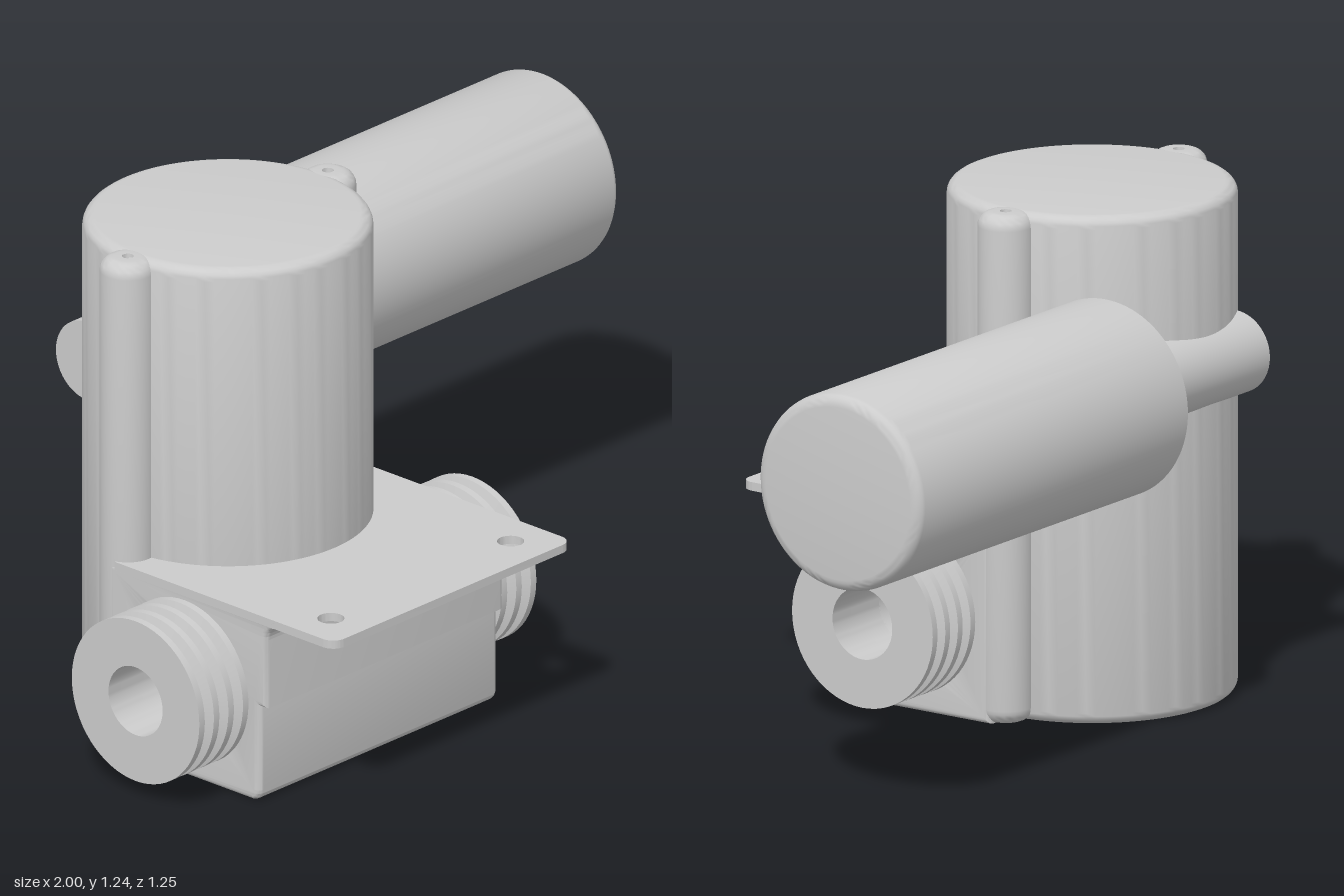
import * as THREE from 'three';
import { toCreasedNormals } from 'three/addons/utils/BufferGeometryUtils.js';

const material = new THREE.MeshStandardMaterial({ color: 0xcccccc });
const CX = -0.415, HALF = 0.413; // middle and half width of the valve housing

function addPart(group, name, geometry, x = 0, y = 0, z = 0) {
  const mesh = new THREE.Mesh(toCreasedNormals(geometry, 0.6), material);
  mesh.name = name;
  mesh.position.set(x, y, z);
  group.add(mesh);
  return mesh;
}

function lathe(points, segments = 64) {
  return new THREE.LatheGeometry(points.map(([r, y]) => new THREE.Vector2(r, y)), segments);
}

// Quarter-circle profile points around (r, y) from angle a to angle b
function arc(r, y, radius, a, b, n = 6) {
  return Array.from({ length: n + 1 }, (_, i) => {
    const t = a + (b - a) * i / n;
    return [r + radius * Math.cos(t), y + radius * Math.sin(t)];
  });
}

// Profile of an upright cylinder with rounded rims
function roundedProfile(r, h, f) {
  return [[0, 0], ...arc(r - f, f, f, -Math.PI / 2, 0), ...arc(r - f, h - f, f, 0, Math.PI / 2)];
}

function hole(x, y, r) {
  return new THREE.Path().absarc(x, y, r, 0, Math.PI * 2, true);
}

export function createModel() {
  const model = new THREE.Group();
  model.name = 'motorisedValve';

  // Upright chamber
  addPart(model, 'chamber', lathe([...roundedProfile(0.343, 1.24, 0.03), [0, 1.24]], 96), CX, 0, -0.1);

  // Side posts with a small dimple on top
  for (const s of [-1, 1]) {
    const profile = [...roundedProfile(0.067, 1.24, 0.035), [0.014, 1.24], [0.012, 1.225], [0, 1.225]];
    addPart(model, s < 0 ? 'rightPost' : 'leftPost', lathe(profile, 32), CX + s * (HALF - 0.067), 0, -0.1);
  }

  // Valve block: side profile with a cross bore, extruded across the width
  const side = new THREE.Shape();
  side.moveTo(-0.1, 0);
  side.lineTo(0.355, 0);
  side.absarc(0.355, 0.03, 0.03, -Math.PI / 2, 0, false);
  side.lineTo(0.385, 0.245);
  side.lineTo(0.405, 0.245);
  side.lineTo(0.405, 0.42);
  side.absarc(0.445, 0.42, 0.04, Math.PI, Math.PI / 2, true);
  side.lineTo(0.445, 0.475);
  side.lineTo(-0.1, 0.475);
  side.closePath();
  side.holes.push(hole(0.145, 0.245, 0.087));
  const bevel = 0.015;
  const block = new THREE.ExtrudeGeometry(side, {
    depth: 2 * (HALF - bevel), bevelEnabled: true, bevelThickness: bevel,
    bevelSize: bevel, bevelOffset: -bevel, bevelSegments: 4, curveSegments: 24,
  });
  block.translate(0, 0, -(HALF - bevel)).rotateY(-Math.PI / 2);
  addPart(model, 'valveBlock', block, CX);

  // Mounting plate with rounded front corners and two screw holes
  const plan = new THREE.Shape();
  const c = 0.035, front = -0.625;
  plan.moveTo(HALF, 0.08);
  plan.lineTo(-HALF, 0.08);
  plan.lineTo(-HALF, front + c);
  plan.absarc(-HALF + c, front + c, c, Math.PI, Math.PI * 1.5, false);
  plan.lineTo(HALF - c, front);
  plan.absarc(HALF - c, front + c, c, -Math.PI / 2, 0, false);
  plan.closePath();
  for (const s of [-1, 1]) plan.holes.push(hole(s * 0.311, -0.52, 0.032));
  const plate = new THREE.ExtrudeGeometry(plan, { depth: 0.021, bevelEnabled: false, curveSegments: 20 });
  plate.rotateX(-Math.PI / 2);
  addPart(model, 'mountingPlate', plate, CX, 0.461, 0);

  // Ribbed hose ports, one on each side of the block
  const ribs = [];
  for (let i = 0; i < 4; i++) {
    const y = i * 0.0503;
    ribs.push([0.205, y], [0.205, y + 0.019]);
    if (i < 3) ribs.push([0.178, y + 0.028], [0.178, y + 0.041]);
  }
  const portProfile = [[0.088, -0.02], [0.205, -0.02], ...ribs, [0.087, 0.17], [0.087, -0.02]];
  for (const s of [-1, 1]) {
    const port = addPart(model, s < 0 ? 'rightPort' : 'leftPort', lathe(portProfile), CX + s * HALF, 0.245, 0.145);
    port.rotation.z = -s * Math.PI / 2;
  }

  // Motor with a tapered nose and a rounded far end
  const motor = lathe([
    [0, -0.145], [0.175, -0.145], [0.24, -0.07],
    ...arc(0.21, 0.97, 0.03, 0, Math.PI / 2), [0, 1],
  ], 96);
  addPart(model, 'motor', motor.rotateZ(-Math.PI / 2), 0, 0.83, -0.39);

  // Drive shaft housing, half sunk into the back of the chamber
  const shaft = new THREE.CylinderGeometry(0.1, 0.1, 0.46, 48).rotateZ(-Math.PI / 2);
  addPart(model, 'shaftHousing', shaft, -0.36, 0.83, -0.39);

  return model;
}
